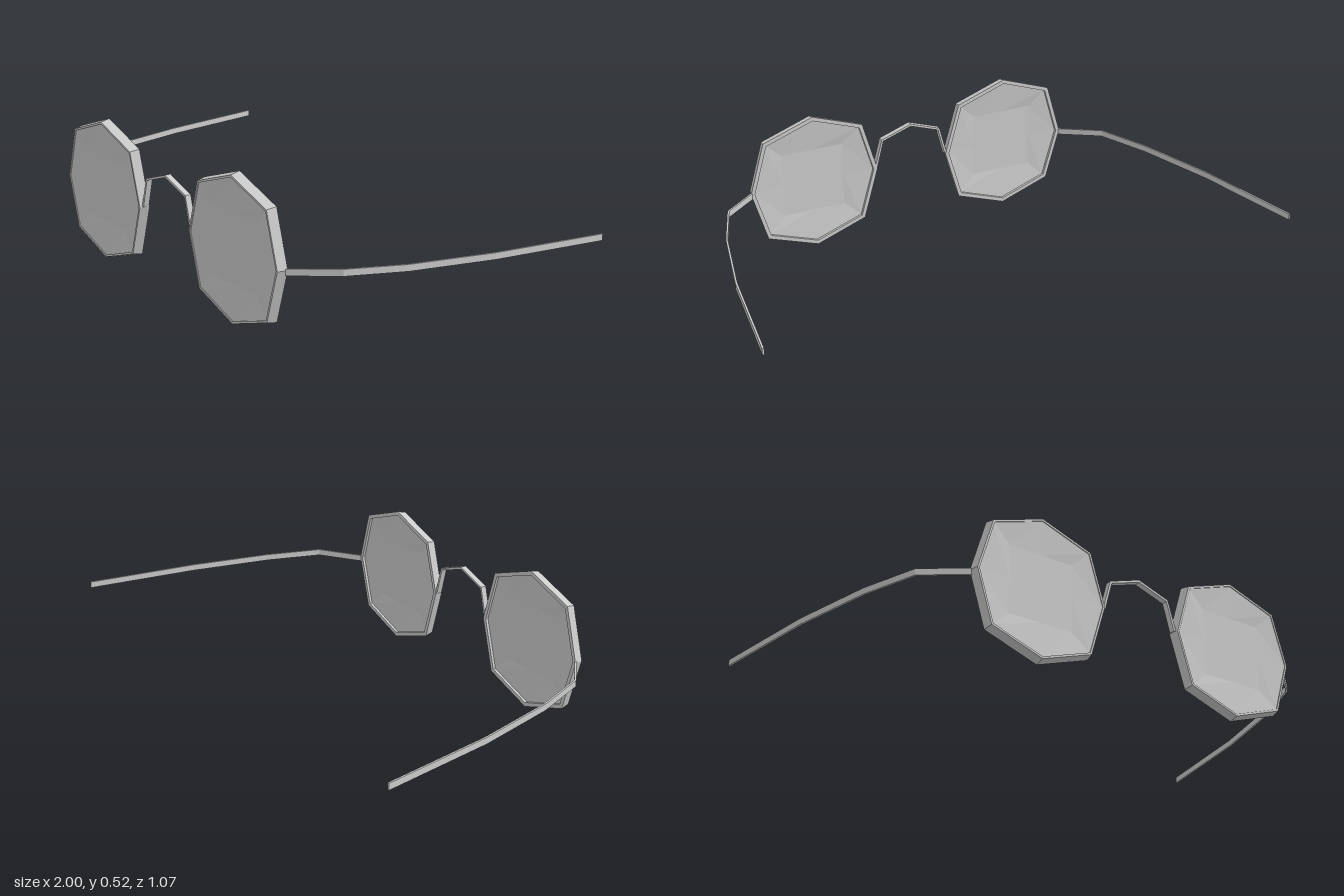
import * as THREE from 'three';

const material = new THREE.MeshStandardMaterial({ color: 0xcccccc, flatShading: true, side: THREE.DoubleSide });
const CX = 0.397, CY = 0.263;

// Octagon outline of the rim, and the flat square in the middle of each lens
const octagon = [[0.253, 0], [0.196, 0.192], [0, 0.26], [-0.196, 0.192],
  [-0.253, 0], [-0.196, -0.192], [0, -0.26], [0.196, -0.192]];
const square = [[0.12, 0], [0.12, 0.122], [0, 0.122], [-0.12, 0.122],
  [-0.12, 0], [-0.12, -0.122], [0, -0.122], [0.12, -0.122]];

// Skin a row of equal cross-section loops; either close the row or cap its ends
function loft(name, sections, closed = false) {
  const n = sections[0].length, rows = sections.length, index = [];
  for (let i = 0; i < (closed ? rows : rows - 1); i++) {
    for (let j = 0; j < n; j++) {
      const a = i * n + j, b = i * n + (j + 1) % n;
      const next = ((i + 1) % rows) * n;
      const c = next + (j + 1) % n, d = next + j;
      index.push(a, b, c, a, c, d);
    }
  }
  if (!closed) {
    const e = (rows - 1) * n;
    for (let j = 1; j < n - 1; j++) index.push(0, j + 1, j, e, e + j, e + j + 1);
  }
  const geometry = new THREE.BufferGeometry();
  geometry.setAttribute('position', new THREE.Float32BufferAttribute(sections.flat(2), 3));
  geometry.setIndex(index);
  const flat = geometry.toNonIndexed();
  flat.computeVertexNormals();
  const mesh = new THREE.Mesh(flat, material);
  mesh.name = name;
  return mesh;
}

// Rectangular wire following a path; "up" is the direction of its broad side
function strip(name, points, up, thickness, breadth) {
  const path = points.map(p => new THREE.Vector3(...p));
  const sections = path.map((p, i) => {
    const tangent = path[Math.min(i + 1, path.length - 1)].clone().sub(path[Math.max(i - 1, 0)]);
    const normal = up.clone().cross(tangent).normalize();
    return [[1, 1], [-1, 1], [-1, -1], [1, -1]].map(([u, v]) => p.clone()
      .addScaledVector(normal, u * thickness / 2)
      .addScaledVector(up, v * breadth / 2).toArray());
  });
  return loft(name, sections);
}

function createEyepiece(side) {
  const group = new THREE.Group();
  group.name = side > 0 ? 'leftEyepiece' : 'rightEyepiece';

  // Rim: a slightly tapered profile carried round the octagon
  const profile = [[0.94, 0.498], [0.94, 0.533], [0.97, 0.533], [1, 0.498]];
  group.add(loft('rim', octagon.map(([x, y]) => profile.map(([s, z]) => [x * s, y * s, z])), true));

  // Lens: dished on both faces, with a flat centre
  const ring = (shape, s, z) => shape.map(([x, y]) => [x * s, y * s, z]);
  group.add(loft('lens', [
    ring(square, 1, 0.518), ring(octagon, 0.945, 0.508),
    ring(octagon, 0.945, 0.53), ring(square, 1, 0.521),
  ]));

  group.position.set(side * CX, CY, 0);
  return group;
}

export function createModel() {
  const model = new THREE.Group();
  model.name = 'glasses';

  // Temple arms sweep outwards and back from the outer rim corners
  const arm = [[0.645, 0.257, 0.503], [0.778, 0.268, 0.382], [0.855, 0.263, 0.185],
    [0.93, 0.258, -0.115], [0.997, 0.252, -0.533]];
  for (const side of [1, -1]) {
    model.add(createEyepiece(side));
    model.add(strip(side > 0 ? 'leftTemple' : 'rightTemple',
      arm.map(([x, y, z]) => [side * x, y, z]), new THREE.Vector3(0, 1, 0), 0.007, 0.023));
  }

  // Arched nose bridge
  const bridge = [[-0.147, 0.265, 0.513], [-0.118, 0.371, 0.513], [0, 0.411, 0.513],
    [0.118, 0.371, 0.513], [0.147, 0.265, 0.513]];
  model.add(strip('bridge', bridge, new THREE.Vector3(0, 0, 1), 0.009, 0.022));

  return model;
}
